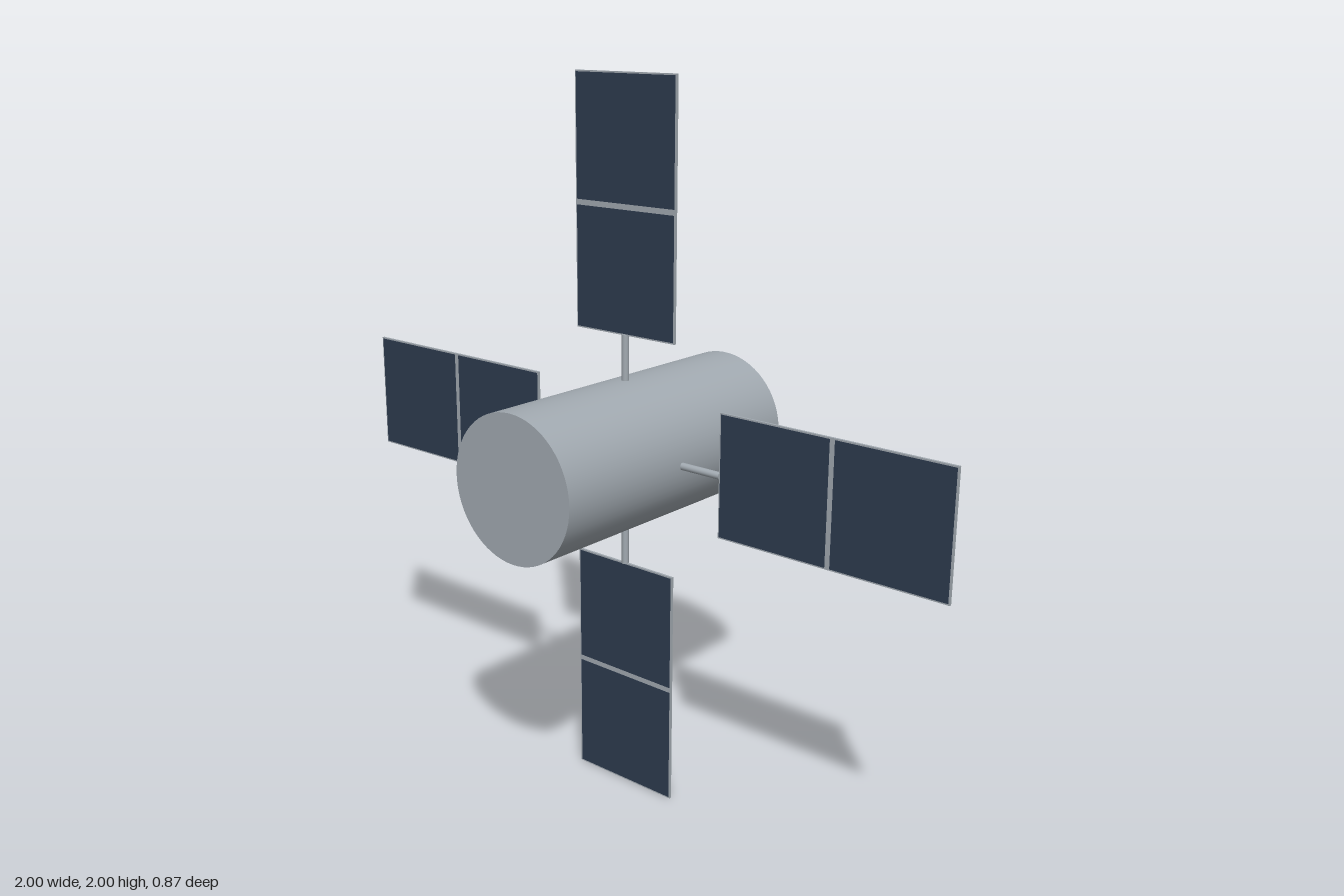
import * as THREE from 'three';

export function createModel() {
  const metal = new THREE.MeshStandardMaterial({ color: 0xa1a9b0 });
  metal.name = 'satellite grey';
  const navy = new THREE.MeshStandardMaterial({ color: 0x2d3b4f });
  navy.name = 'solar cell navy';

  const model = new THREE.Group();
  model.name = 'satellite';

  const add = (parent, name, geometry, material, x, y, z) => {
    const mesh = new THREE.Mesh(geometry, material);
    mesh.name = name;
    mesh.position.set(x, y, z);
    parent.add(mesh);
    return mesh;
  };

  // Cylindrical body lying along z
  add(model, 'body', new THREE.CylinderGeometry(0.2, 0.2, 0.87, 64).rotateX(Math.PI / 2), metal, 0, 1, 0);

  // Shared wing geometry, pointing along +x
  const strut = new THREE.CylinderGeometry(0.01, 0.01, 0.14, 16).rotateZ(Math.PI / 2);
  const panel = new THREE.BoxGeometry(0.677, 0.34, 0.007);
  const cell = new THREE.BoxGeometry(0.327, 0.332, 0.002);

  // Four wings around the body, cells facing the front
  ['left', 'top', 'right', 'bottom'].forEach((side, i) => {
    const wing = new THREE.Group();
    wing.name = side + 'Wing';
    wing.position.y = 1;
    wing.rotation.z = i * Math.PI / 2;
    add(wing, 'strut', strut, metal, 0.255, 0, 0);
    add(wing, 'panel', panel, metal, 0.6615, 0, 0);
    add(wing, 'innerCell', cell, navy, 0.4905, 0, 0.0035);
    add(wing, 'outerCell', cell, navy, 0.8325, 0, 0.0035);
    model.add(wing);
  });

  return model;
}
